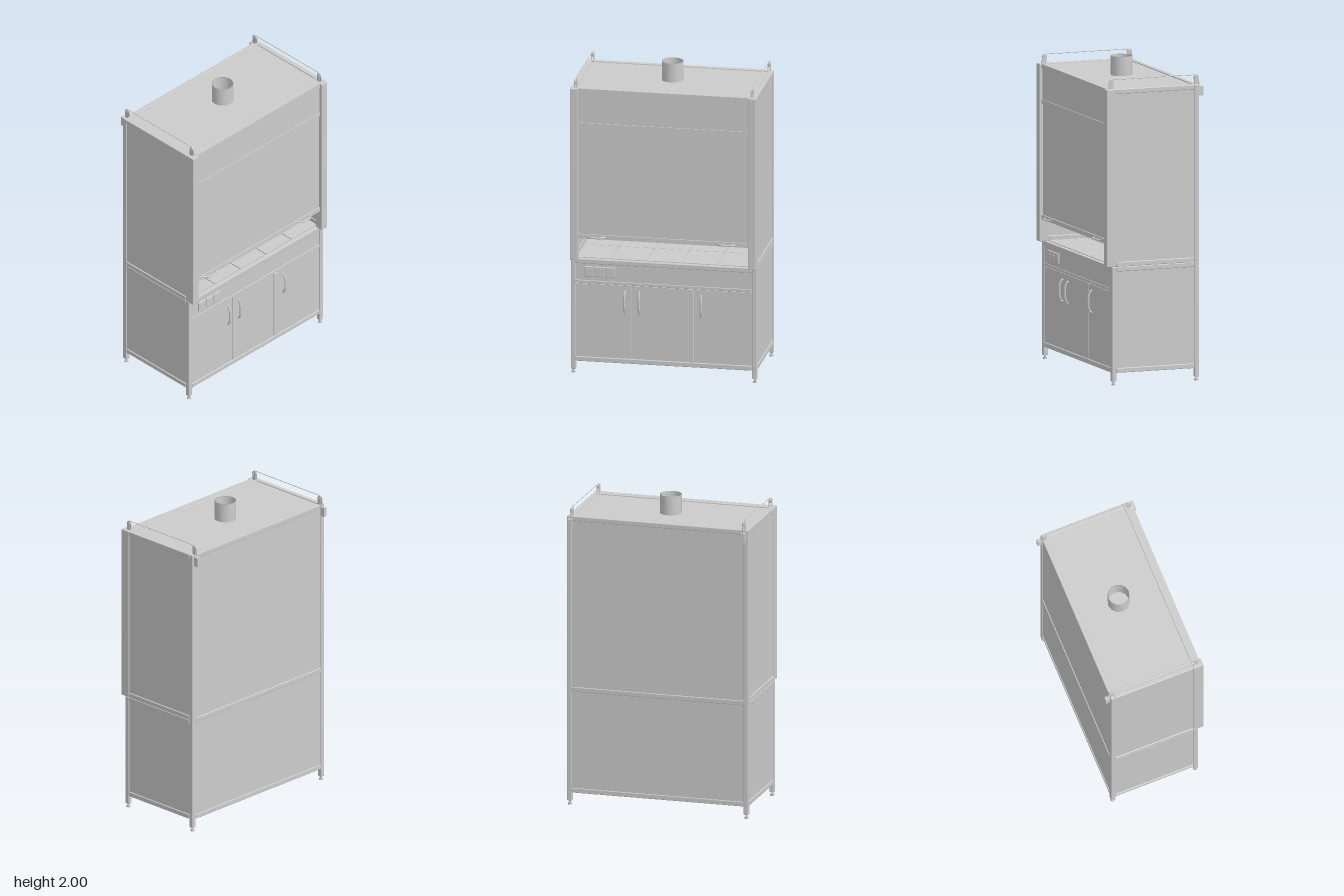
import * as THREE from 'three';
import { RoundedBoxGeometry } from 'three/addons/geometries/RoundedBoxGeometry.js';

export function createModel() {
  const model = new THREE.Group();
  model.name = 'fumeCupboard';
  const mat = new THREE.MeshStandardMaterial({ color: 0xcccccc });
  const thin = new THREE.MeshStandardMaterial({ color: 0xcccccc, side: THREE.DoubleSide });

  const add = (name, geometry, material = mat) => {
    const mesh = new THREE.Mesh(geometry, material);
    mesh.name = name;
    model.add(mesh);
    return mesh;
  };
  // Box given by its extents on each axis
  const box = (name, x0, x1, y0, y1, z0, z1, radius = 0) => {
    const s = [x1 - x0, y1 - y0, z1 - z0];
    const g = radius ? new RoundedBoxGeometry(...s, 2, radius) : new THREE.BoxGeometry(...s);
    return add(name, g.translate((x0 + x1) / 2, (y0 + y1) / 2, (z0 + z1) / 2));
  };
  const cyl = (name, r, h, x, y, z, axis = 'y', seg = 16) => {
    const m = add(name, new THREE.CylinderGeometry(r, r, h, seg));
    if (axis === 'x') m.rotation.z = Math.PI / 2;
    if (axis === 'z') m.rotation.x = Math.PI / 2;
    m.position.set(x, y, z);
    return m;
  };
  // Tube with straight runs through a list of points
  const tube = (name, pts, r) => {
    const path = new THREE.CurvePath();
    const v = pts.map(p => new THREE.Vector3(...p));
    for (let i = 1; i < v.length; i++) path.add(new THREE.LineCurve3(v[i - 1], v[i]));
    return add(name, new THREE.TubeGeometry(path, 32, r, 8));
  };

  const W = 0.595, IN = 0.565, F = 0.285, B = -0.305, T = 0.03, TOP = 1.885;

  // Frame posts, feet, side rails and side panels
  for (const s of [-1, 1]) {
    const sx = (name, a, b, ...rest) => box(name, Math.min(s * a, s * b), Math.max(s * a, s * b), ...rest);
    sx('frontPost', IN, W, 0.025, 0.755, F - T, F, 0.004);
    sx('backPost', IN, W, 0.025, TOP, B, B + T, 0.004);
    sx('upperFrontPost', IN, W, 0.755, TOP, F - T, F, 0.004);
    for (const z of [F - T / 2, B + T / 2]) {
      cyl('footStem', 0.006, 0.03, s * 0.58, 0.02, z);
      cyl('foot', 0.013, 0.012, s * 0.58, 0.006, z);
    }
    for (const y of [0.08, 0.725, 0.755, TOP - T])
      sx('sideRail', IN, W, y, y + T, B + T, F - T, 0.004);
    sx('lowerSidePanel', 0.57, 0.588, 0.11, 0.725, B + T, F - T);
    sx('upperSidePanel', 0.57, 0.588, 0.785, TOP - T, B + T, F - T);

    // Front column framing the sash
    sx('frontColumn', 0.545, W, 0.755, TOP, 0.27, 0.322, 0.004);

    // Pulleys on top, with cable and counterweight
    const px = s * 0.565;
    for (const z of [0.28, -0.295]) {
      for (const dx of [-0.007, 0.007])
        box('pulleyBracket', px + dx - 0.0015, px + dx + 0.0015, 1.875, 1.935, z - 0.012, z + 0.012);
      cyl('pulleyWheel', 0.017, 0.009, px, 1.926, z, 'x', 20);
      cyl('pulleyAxle', 0.004, 0.022, px, 1.926, z, 'x', 10);
    }
    tube('cable', [[px, 1.885, 0.296], [px, 1.93, 0.296], [px, 1.944, 0.28],
      [px, 1.944, -0.295], [px, 1.935, -0.31], [px, 1.87, -0.316]], 0.0025);
    sx('counterweight', 0.557, 0.582, 1.812, 1.872, -0.337, -0.307);
  }

  // Cross rails between the posts
  for (const y of [0.08, 0.725]) box('frontRail', -IN, IN, y, y + T, F - T, F, 0.004);
  for (const y of [0.08, 0.74, TOP - T]) box('backRail', -IN, IN, y, y + T, B, B + T, 0.004);
  box('roofFrontRail', -IN, IN, TOP - T, TOP, F - T, F, 0.004);
  box('frontMidRail', -IN, IN, 0.595, 0.615, F - T, F - 0.002, 0.003);
  box('doorDivider', 0.16, 0.19, 0.11, 0.595, F - T, F, 0.004);

  // Back, bottom and roof panels
  box('lowerBackPanel', -IN, IN, 0.11, 0.74, B + 0.006, B + 0.018);
  box('upperBackPanel', -IN, IN, 0.77, TOP - T, B + 0.006, B + 0.018);
  box('bottomPanel', -IN, IN, 0.09, 0.1, B + T, F - T);
  box('roofPanel', -0.57, 0.57, 1.865, 1.878, B + T, F - T);

  // Control panel with sockets
  box('controlPanel', -IN, IN, 0.615, 0.725, F - 0.02, F - 0.006);
  for (let i = 0; i < 3; i++) {
    const x = -0.478 + i * 0.067;
    box('socketPlate', x - 0.032, x + 0.032, 0.642, 0.708, F - 0.01, F + 0.004, 0.004);
    cyl('socketRim', 0.022, 0.003, x, 0.675, F + 0.004, 'z', 20);
  }

  // Doors and bow handles
  for (const [x0, x1, hx] of [[-0.563, -0.207, -0.25], [-0.203, 0.158, -0.157], [0.192, 0.563, 0.24]]) {
    box('door', x0, x1, 0.112, 0.593, F - 0.018, F - 0.004);
    tube('doorHandle', [[hx, 0.415, F - 0.006], [hx, 0.42, F + 0.008], [hx, 0.45, F + 0.019],
      [hx, 0.52, F + 0.019], [hx, 0.55, F + 0.008], [hx, 0.555, F - 0.006]], 0.007);
  }

  // Worktop slab and tiles
  box('worktop', -IN, IN, 0.735, 0.752, B + T, F - T);
  const tileW = 0.226;
  for (let i = 0; i < 5; i++) {
    const x = -0.565 + i * tileW;
    for (const [z0, z1] of [[-0.27, -0.01], [-0.005, 0.255]])
      box('worktopTile', x + 0.003, x + tileW - 0.003, 0.75, 0.758, z0, z1);
  }

  // Service tap inside the working chamber
  cyl('tapBase', 0.012, 0.012, 0.455, 0.764, -0.2);
  cyl('tapPipe', 0.007, 0.14, 0.455, 0.828, -0.2);
  add('tapKnob', new THREE.SphereGeometry(0.014, 12, 8)).position.set(0.455, 0.82, -0.192);
  tube('tapSpout', [[0.455, 0.89, -0.2], [0.455, 0.905, -0.18], [0.455, 0.9, -0.15], [0.455, 0.88, -0.14]], 0.006);

  // Header, sash window and its rails
  const SX = 0.545;
  box('headerTopRail', -SX, SX, 1.855, TOP, 0.283, 0.308);
  box('headerPanel', -SX, SX, 1.655, 1.855, 0.288, 0.302);
  box('sashTopRail', -SX, SX, 1.633, 1.66, 0.285, 0.308);
  box('sashPane', -SX, SX, 0.92, 1.64, 0.291, 0.299);
  box('sashBottomRail', -SX, SX, 0.897, 0.925, 0.283, 0.308);
  for (const x of [-0.43, 0.405])
    tube('sashHandle', [[x - 0.058, 0.911, 0.306], [x - 0.05, 0.911, 0.312], [x - 0.03, 0.911, 0.33],
      [x + 0.03, 0.911, 0.33], [x + 0.05, 0.911, 0.312], [x + 0.058, 0.911, 0.306]], 0.006);

  // Exhaust duct on the roof
  const duct = [[0.07, 1.87], [0.07, 2], [0.066, 2], [0.066, 1.87]].map(p => new THREE.Vector2(...p));
  const ductGeo = new THREE.LatheGeometry(duct, 12);
  add('exhaustDuct', ductGeo, thin).position.z = -0.015;

  return model;
}
